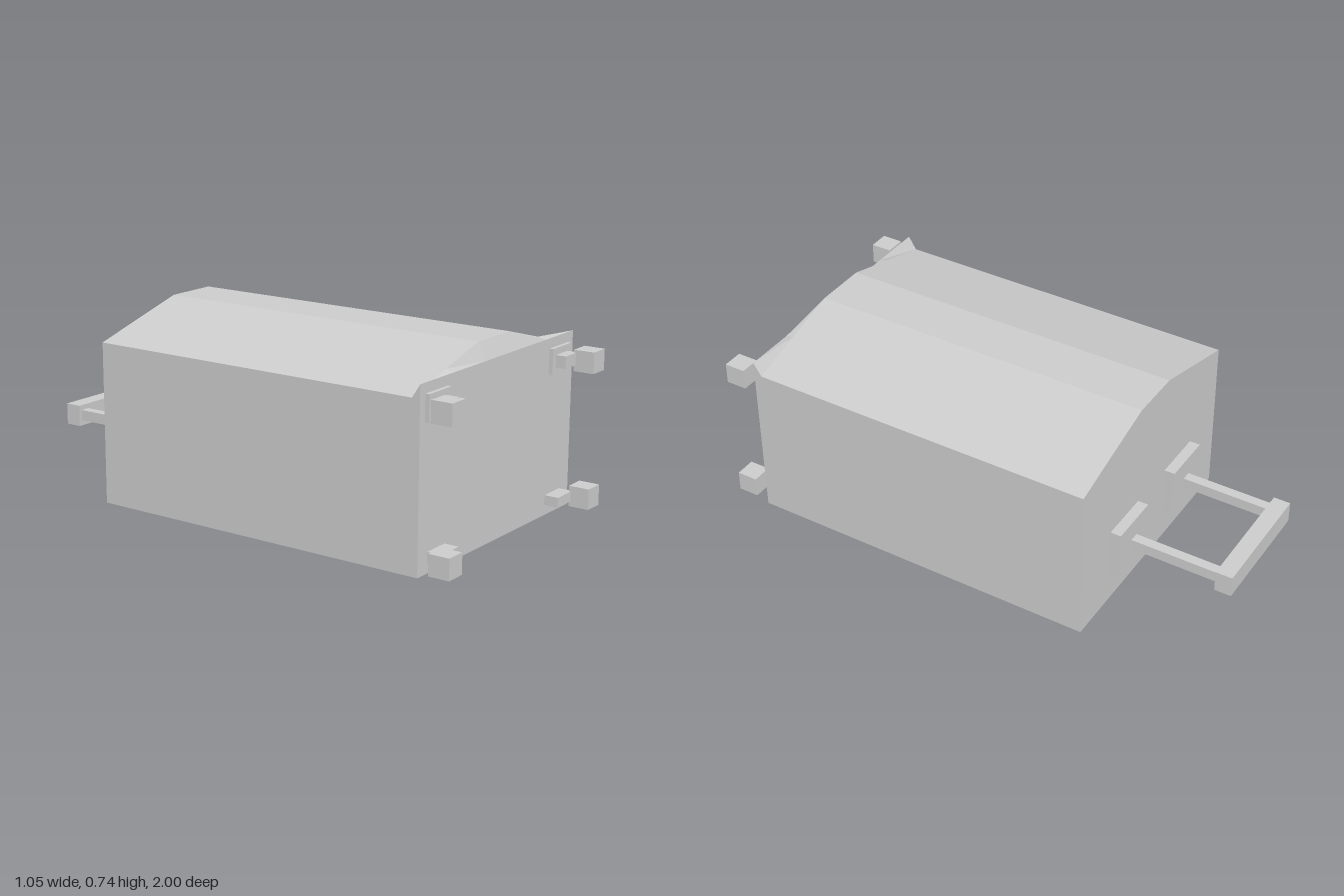
import * as THREE from 'three';

const material = new THREE.MeshStandardMaterial({ color: 0xcccccc, flatShading: true });

// Box given by its extents on each axis
function box(name, [x0, x1], [y0, y1], [z0, z1]) {
  const mesh = new THREE.Mesh(new THREE.BoxGeometry(x1 - x0, y1 - y0, z1 - z0), material);
  mesh.position.set((x0 + x1) / 2, (y0 + y1) / 2, (z0 + z1) / 2);
  mesh.name = name;
  return mesh;
}

// Shell lofted through three sections: arched, arched, then flat-topped at the front
function shellGeometry() {
  const L = -0.514, R = 0.519;
  const arch = [[L, 0], [R, 0], [R, 0.625], [0.314, 0.683], [0.107, 0.74],
    [-0.102, 0.74], [-0.308, 0.683], [L, 0.625]];
  const section = (z, flat) => arch.map(([x, y]) => [x, flat && y > 0 ? 0.675 : y, z]);
  const rings = [section(-0.543), section(0.836), section(0.868, true)];
  const positions = [];
  const tri = (...corners) => corners.forEach((p) => positions.push(...p));
  const n = arch.length;
  for (let i = 0; i < rings.length - 1; i++) {
    for (let j = 0; j < n; j++) {
      const k = (j + 1) % n;
      const a = rings[i][j], b = rings[i][k], c = rings[i + 1][k], d = rings[i + 1][j];
      tri(a, b, d);
      tri(b, c, d);
    }
  }
  // End caps
  const back = rings[0], front = rings[rings.length - 1];
  for (let j = 1; j < n - 1; j++) {
    tri(front[0], front[j], front[j + 1]);
    tri(back[0], back[j + 1], back[j]);
  }
  const geometry = new THREE.BufferGeometry();
  geometry.setAttribute('position', new THREE.Float32BufferAttribute(positions, 3));
  geometry.computeVertexNormals();
  return geometry;
}

export function createModel() {
  const model = new THREE.Group();
  model.name = 'suitcase';

  const shell = new THREE.Mesh(shellGeometry(), material);
  shell.name = 'shell';
  model.add(shell);

  for (const [side, s] of [['left', 1], ['right', -1]]) {
    // Extents mirrored to the given side
    const span = (a, b) => (s > 0 ? [a, b] : [-b, -a]);
    const lift = s > 0 ? 0 : 0.01;

    // Upper wheel with its mounting plate
    const upper = new THREE.Group();
    upper.name = `${side}UpperWheel`;
    upper.add(
      box('wheelPlate', span(0.345, 0.482), [0.538, 0.637], [0.86, 0.884]),
      box('wheelAxle', span(0.367, 0.455), [0.564, 0.611], [0.875, 0.925]),
      box('wheel', span(0.442, 0.523), [0.541 + lift, 0.622 + lift], [0.917, 1]),
    );

    // Lower wheel on a plain axle
    const lower = new THREE.Group();
    lower.name = `${side}LowerWheel`;
    lower.add(
      box('wheelAxle', span(0.345, 0.455), [0.04, 0.078], [0.86, 0.925]),
      box('wheel', span(0.442, 0.523), [0.02, 0.1], [0.917, 1]),
    );

    // Handle socket and rod
    model.add(
      upper, lower,
      box(`${side}HandleSocket`, span(0.104, 0.311), [0.118, 0.322], [-0.585, -0.535]),
      box(`${side}HandleRod`, span(0.187, 0.226), [0.2, 0.242], [-0.945, -0.575]),
    );
  }

  model.add(box('handleGrip', [-0.24, 0.245], [0.178, 0.262], [-1, -0.934]));
  return model;
}
